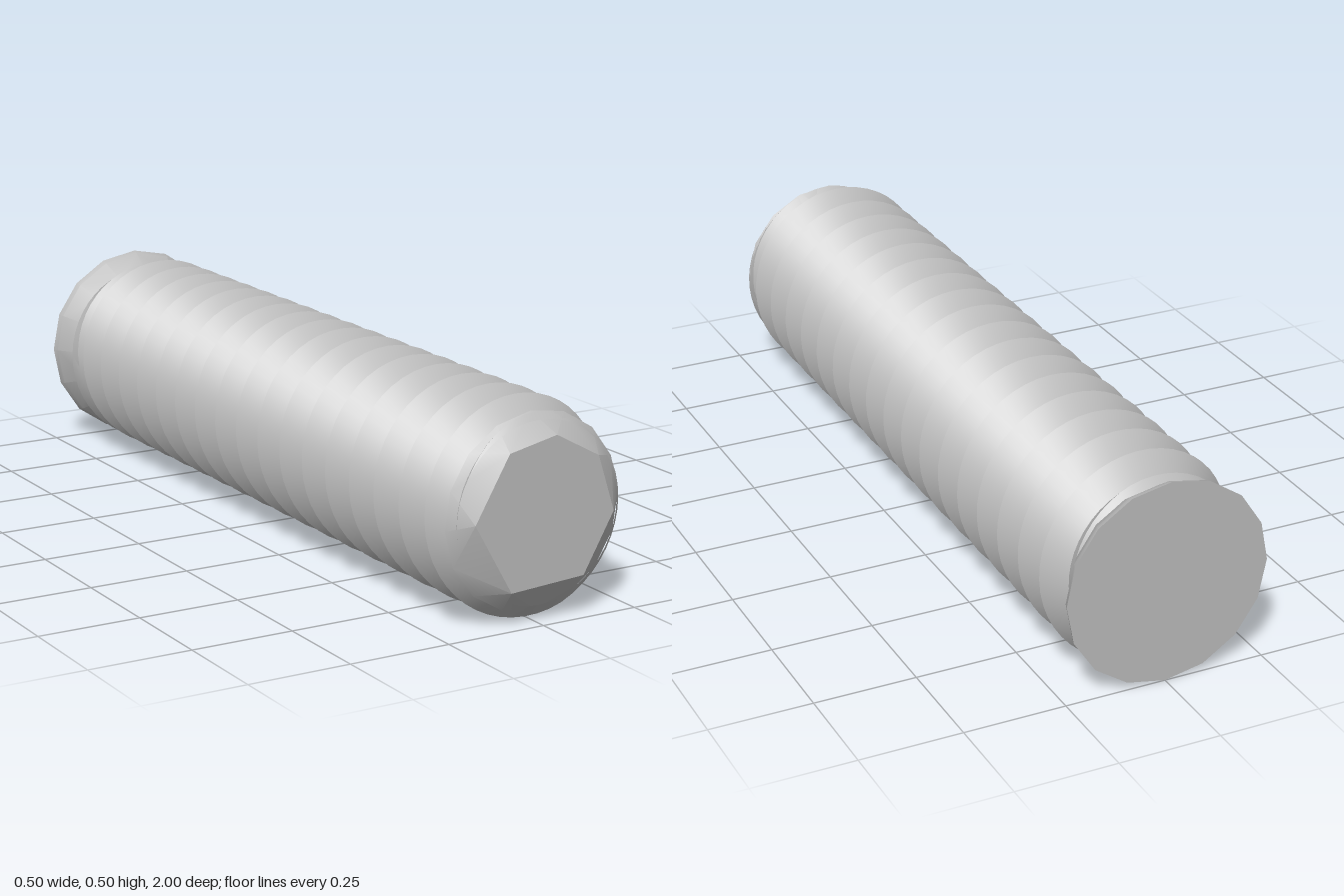
import * as THREE from 'three';
import { toCreasedNormals } from 'three/addons/utils/BufferGeometryUtils.js';
import { ConvexGeometry } from 'three/addons/geometries/ConvexGeometry.js';

const CREST = 0.252, ROOT = 0.206, PITCH = 0.107, PHASE = 0.846;
const Z_BACK = -0.95, Z_FRONT = 0.97, SEGMENTS = 48;

// Thread radius: triangular ridge along a right-hand helix, cut back by the end bevels
function threadRadius(angle, z) {
  const t = (z - PHASE) / PITCH - angle / (Math.PI * 2);
  const fromCrest = Math.abs(t - Math.round(t)) * 2;
  const ridge = CREST + (ROOT - CREST) * fromCrest;
  const frontBevel = 0.184 + (1 - z);
  const backBevel = 0.206 + Math.max(0, z + 0.95) * 0.9;
  return Math.min(ridge, frontBevel, backBevel);
}

// Helical thread surface whose rows follow crests and roots
function threadGeometry() {
  const positions = [];
  const steps = 4; // rows per pitch
  const first = Math.floor((Z_BACK - PHASE) / PITCH - 1) * steps;
  const last = Math.ceil((Z_FRONT - PHASE) / PITCH) * steps;
  const point = (i, k) => {
    const angle = (i / SEGMENTS) * Math.PI * 2;
    const z = THREE.MathUtils.clamp(PHASE + PITCH * (k / steps + i / SEGMENTS), Z_BACK, Z_FRONT);
    const r = threadRadius(angle, z);
    return new THREE.Vector3(r * Math.cos(angle), r * Math.sin(angle), z);
  };
  const triangle = new THREE.Triangle();
  const add = (a, b, c) => {
    if (triangle.set(a, b, c).getArea() < 1e-8) return;
    for (const p of [a, b, c]) positions.push(p.x, p.y, p.z);
  };
  for (let k = first; k < last; k++) {
    for (let i = 0; i < SEGMENTS; i++) {
      const a = point(i, k), b = point(i + 1, k), c = point(i + 1, k + 1), d = point(i, k + 1);
      add(a, b, c);
      add(a, c, d);
    }
  }
  const geometry = new THREE.BufferGeometry();
  geometry.setAttribute('position', new THREE.Float32BufferAttribute(positions, 3));
  return toCreasedNormals(geometry, 0.5);
}

// Ring of points about the shaft axis
function ring(radius, z, degrees) {
  return degrees.map((d) => {
    const a = THREE.MathUtils.degToRad(d);
    return new THREE.Vector3(radius * Math.cos(a), radius * Math.sin(a), z);
  });
}

export function createModel() {
  const model = new THREE.Group();
  const steel = new THREE.MeshStandardMaterial({ color: 0xbcbcbc });
  steel.name = 'steel';

  const rod = new THREE.Group();
  rod.name = 'threadedRod';
  rod.position.y = CREST;
  model.add(rod);

  const add = (name, geometry) => {
    const mesh = new THREE.Mesh(geometry, steel);
    mesh.name = name;
    rod.add(mesh);
  };

  add('thread', threadGeometry());

  // Bevelled tip with a seven-sided end face
  const tipAngles = [-4, 41, 82, 122, 178, 242, 305];
  const rimAngles = Array.from({ length: 16 }, (_, i) => i * 22.5 + 3);
  add('bevelledTip', toCreasedNormals(new ConvexGeometry([
    ...ring(0.185, 1, tipAngles),
    ...ring(0.232, 0.95, rimAngles),
    ...ring(0.2, 0.91, rimAngles),
  ]), 0.35));

  // Flared collar with a flat end face
  const collarAngles = Array.from({ length: 16 }, (_, i) => i * 22.5);
  add('endCollar', toCreasedNormals(new ConvexGeometry([
    ...ring(CREST, -1, collarAngles),
    ...ring(0.247, -0.985, collarAngles),
    ...ring(0.205, -0.925, collarAngles),
  ]), 0.45));

  return model;
}
